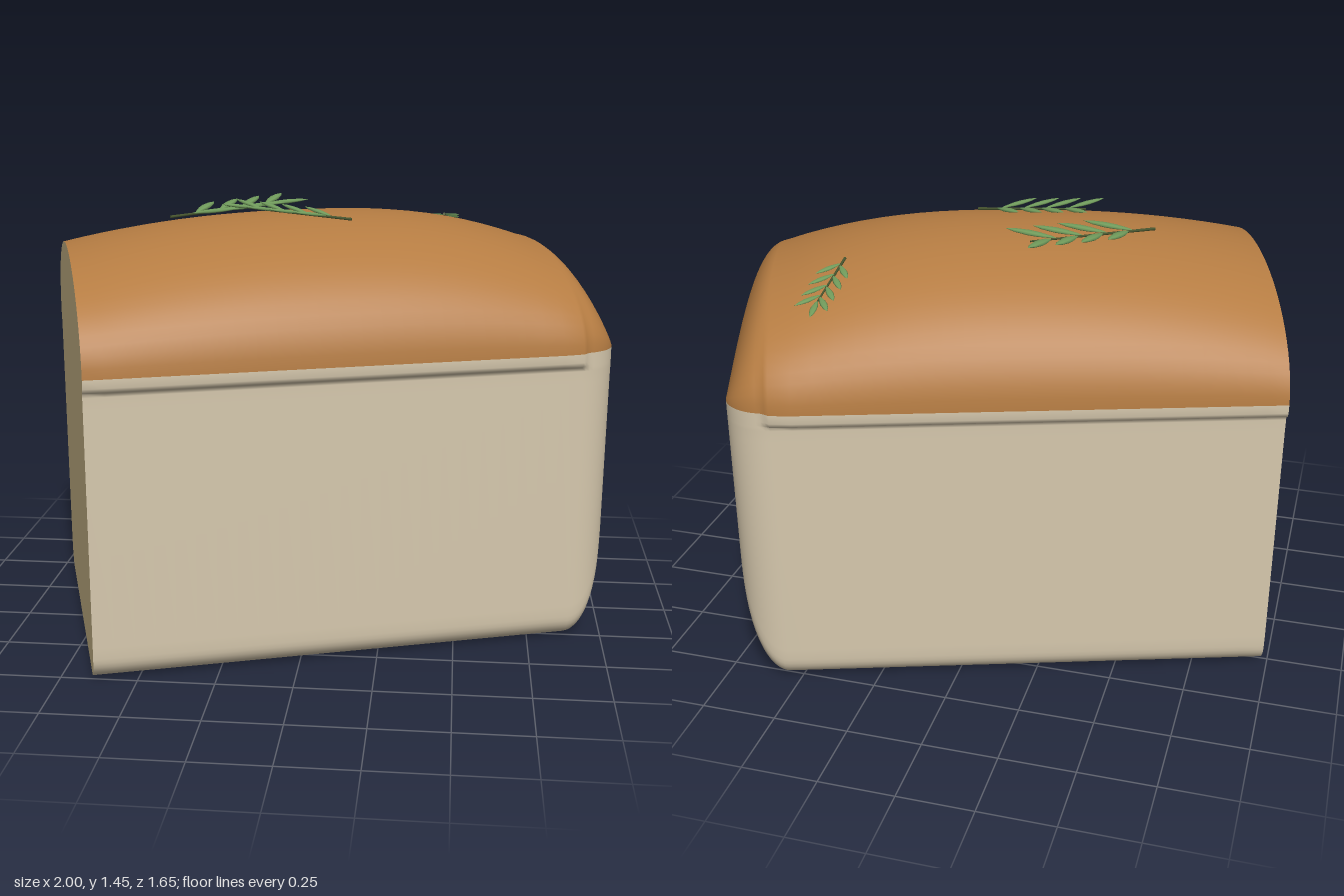
import * as THREE from 'three';

const mat = (name, color) => {
  const m = new THREE.MeshStandardMaterial({ color });
  m.name = name;
  return m;
};

const END = 1.6; // where the rounded far end begins
const { smoothstep } = THREE.MathUtils;

// Stations along the loaf: long dome, then a rounded end swept by angle a
function stations() {
  const list = [];
  const add = (u, a) => {
    const c = Math.max(Math.cos(a), 0);
    const rise = u < 0.9 ? 0.09 * ((0.9 - u) / 0.9) ** 2.3
      : 0.11 * ((Math.min(u, END) - 0.9) / 0.7) ** 2.3;
    list.push({
      u,
      top: a > 1.57 ? 1 : 1 + (0.41 - rise) * Math.pow(c, 1.4),
      bottom: 0.32 * (1 - c),
      side: 0.583 - 0.125 * (1 - c),
      lip: 0.022 * (1 - smoothstep(u, 1.585, 1.63)),
      r: 0.08 + 0.07 * (1 - c),
    });
  };
  for (let i = 0; i < 24; i++) add((END * i) / 24, 0);
  for (let i = 0; i <= 16; i++) {
    const a = (Math.PI / 2) * (i / 16);
    add(END + 0.145 * Math.sin(a), a);
  }
  return list;
}

// Cross-sections as [w, y] points
function crustSection({ top, side, lip }) {
  const pts = [];
  for (let i = 0; i <= 32; i++) {
    const t = (Math.PI * i) / 32;
    pts.push([(side + lip) * Math.cos(t), 1 + (top - 1) * Math.sin(t)]);
  }
  return pts;
}

function bodySection({ bottom, side, lip, r }) {
  const foot = side - 0.016;
  const half = [[foot - r - 0.03, bottom]];
  for (let i = 0; i <= 8; i++) {
    const t = (Math.PI / 2) * (i / 8);
    half.push([foot - r + r * Math.sin(t), bottom + r - r * Math.cos(t)]);
  }
  half.push([foot + 0.003, bottom + r + 0.04], [side - 0.002, 0.9], [side, 0.94], [side, 0.952],
    [side + lip * 0.7, 0.958], [side + lip, 0.972], [side + lip, 1]);
  const mirrored = half.map(([w, y]) => [-w, y]).reverse();
  return [...mirrored, [0, bottom], ...half];
}

function geometryFrom(pos, index) {
  const g = new THREE.BufferGeometry();
  g.setAttribute('position', new THREE.Float32BufferAttribute(pos, 3));
  g.setIndex(index);
  g.computeVertexNormals();
  return g;
}

// Skin through the sections
function loft(list, section) {
  const pos = [], index = [];
  let n = 0;
  list.forEach((s, i) => {
    const ring = section(s);
    n = ring.length;
    ring.forEach(([w, y]) => pos.push(s.u, y, w));
    if (!i) return;
    for (let j = 0; j < n - 1; j++) {
      const a = (i - 1) * n + j, b = i * n + j;
      index.push(a, b, a + 1, b, b + 1, a + 1);
    }
  });
  return geometryFrom(pos, index);
}

// Flat face closing a section
function cap(ring, u, flip) {
  const pos = [u, 0.7, 0], index = [];
  ring.forEach(([w, y], j) => {
    pos.push(u, y, w);
    const a = 1 + j, b = 1 + ((j + 1) % ring.length);
    index.push(0, flip ? b : a, flip ? a : b);
  });
  return geometryFrom(pos, index);
}

// Pointed flat leaf of unit length growing along +x
function leafGeometry() {
  const profile = [[0, 0], [0.05, 0.1], [0.1, 0.35], [0.11, 0.55], [0.075, 0.8], [0, 1]];
  const g = new THREE.LatheGeometry(profile.map(([x, y]) => new THREE.Vector2(x, y)), 8);
  g.rotateZ(-Math.PI / 2);
  g.scale(1, 0.4, 1);
  return g;
}

function sprig(name, base, tip, pairs, leafLength, spread, endLeaf, leafGeo, leafMat, stemMat) {
  const g = new THREE.Group();
  g.name = name;
  const from = new THREE.Vector3(...base);
  const dir = new THREE.Vector3(...tip).sub(from);
  const length = dir.length();
  dir.normalize();
  const across = new THREE.Vector3().crossVectors(dir, new THREE.Vector3(0, 1, 0)).normalize();
  const up = new THREE.Vector3().crossVectors(across, dir);
  g.quaternion.setFromRotationMatrix(new THREE.Matrix4().makeBasis(dir, up, across));
  g.position.copy(from);

  const stem = new THREE.Mesh(new THREE.CylinderGeometry(0.003, 0.005, length, 6), stemMat);
  stem.name = 'stem';
  stem.rotation.z = -Math.PI / 2;
  stem.position.x = length / 2;
  g.add(stem);

  const addLeaf = (x, angle, size) => {
    const leaf = new THREE.Mesh(leafGeo, leafMat);
    leaf.name = 'leaf';
    leaf.position.set(x, 0.003, 0);
    leaf.rotation.set(0, angle, 0.08);
    leaf.scale.setScalar(size);
    g.add(leaf);
  };
  pairs.forEach((t) => [-1, 1].forEach((s) =>
    addLeaf((t + s * 0.02) * length, s * spread, leafLength)));
  if (endLeaf) addLeaf(length * 0.97, 0.15, leafLength);
  return g;
}

export function createModel() {
  const crustMat = mat('golden crust', 0xb57c42);
  const bodyMat = mat('pale side crust', 0xd8caaf);
  const crumbMat = mat('crumb', 0xd8c594);
  const leafMat = mat('leaf green', 0x719c5c);
  const stemMat = mat('stem green', 0x48562f);

  const model = new THREE.Group();
  model.name = 'breadLoaf';

  // Loaf, turned slightly about the upright axis
  const loaf = new THREE.Group();
  loaf.name = 'loaf';
  loaf.rotation.y = 0.319;
  loaf.position.set(-0.81, 0, 0.245);
  model.add(loaf);
  const add = (name, geo, m) => {
    const mesh = new THREE.Mesh(geo, m);
    mesh.name = name;
    loaf.add(mesh);
  };
  const list = stations();
  const first = list[0], last = list[list.length - 1];
  add('topCrust', loft(list, crustSection), crustMat);
  add('sidesAndBase', loft(list, bodySection), bodyMat);
  add('farEnd', cap(bodySection(last), last.u, true), bodyMat);
  add('cutFace', cap([...bodySection(first), ...crustSection(first).slice(1, -1)], 0, false), crumbMat);

  // Herb sprigs resting on the crust
  const leafGeo = leafGeometry();
  const four = [0.2, 0.41, 0.61, 0.82];
  model.add(
    sprig('largeSprig', [-0.49, 1.395, 0.08], [-0.14, 1.415, -0.21], four, 0.17, 0.67, false, leafGeo, leafMat, stemMat),
    sprig('middleSprig', [0.13, 1.4, 0.12], [-0.25, 1.435, 0.105], four, 0.135, 0.68, false, leafGeo, leafMat, stemMat),
    sprig('smallSprig', [0.43, 1.36, -0.37], [0.43, 1.3, -0.62], [0.16, 0.4, 0.64, 0.86], 0.1, 0.6, true, leafGeo, leafMat, stemMat),
  );
  return model;
}
